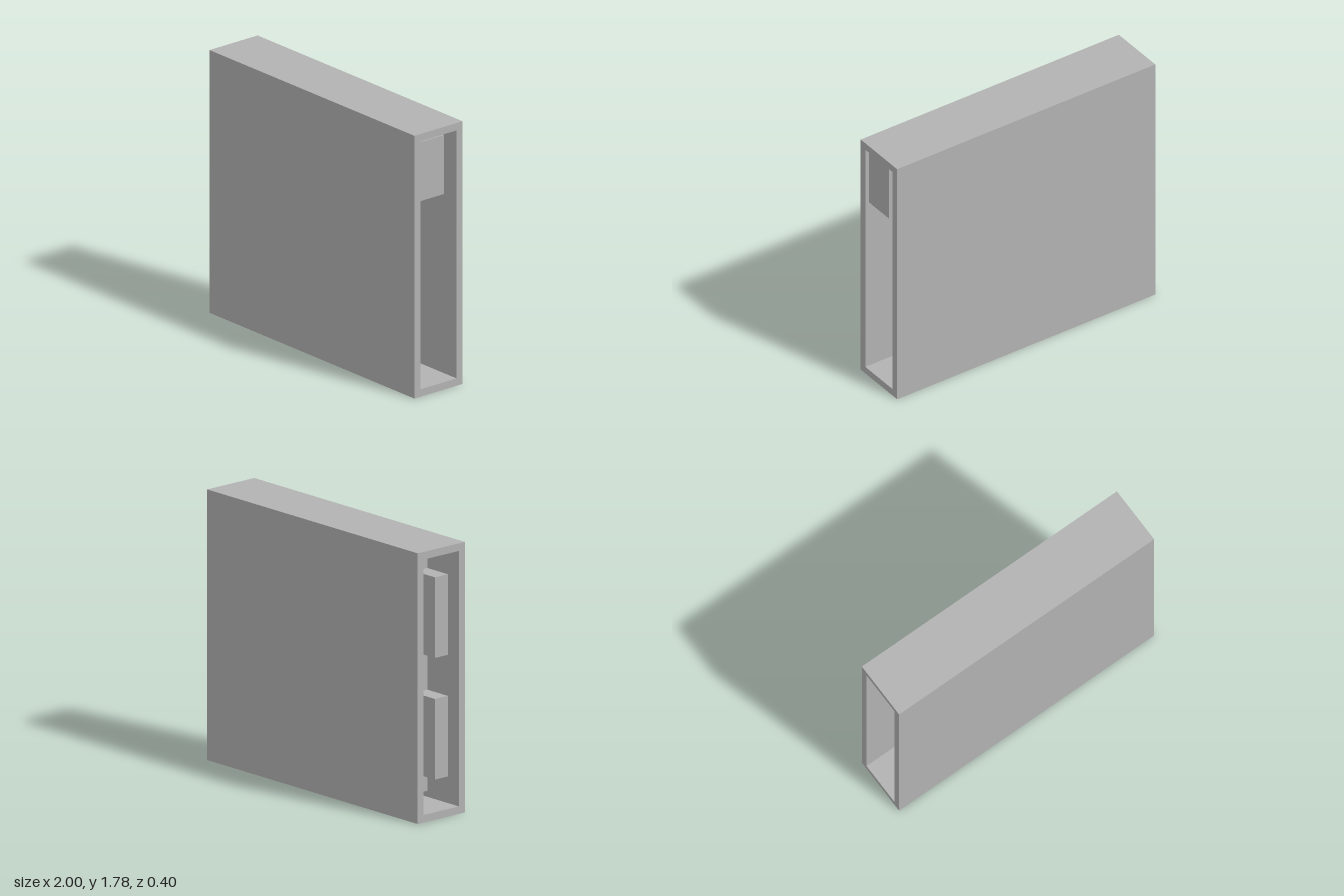
import * as THREE from 'three';

export function createModel() {
  const model = new THREE.Group();
  model.name = 'deviceEnclosure';
  const grey = new THREE.MeshStandardMaterial({ color: 0xb2b2b2 });
  grey.name = 'plain grey';

  // Box given by its lower and upper limits on each axis
  const box = (name, [x0, x1], [y0, y1], [z0, z1], parent = model) => {
    const mesh = new THREE.Mesh(new THREE.BoxGeometry(x1 - x0, y1 - y0, z1 - z0), grey);
    mesh.position.set((x0 + x1) / 2, (y0 + y1) / 2, (z0 + z1) / 2);
    mesh.name = name;
    parent.add(mesh);
  };

  // Rectangular sleeve, open at both x ends
  const H = 1.78, D = 0.2, wall = 0.05;
  const rect = (path, z, y0, y1) =>
    path.moveTo(-z, y0).lineTo(z, y0).lineTo(z, y1).lineTo(-z, y1).closePath();
  const profile = rect(new THREE.Shape(), D, 0, H);
  profile.holes.push(rect(new THREE.Path(), D - wall, wall, H - wall));
  const sleeveGeo = new THREE.ExtrudeGeometry(profile, { depth: 2, bevelEnabled: false });
  sleeveGeo.translate(0, 0, -1).rotateY(Math.PI / 2);
  const sleeve = new THREE.Mesh(sleeveGeo, grey);
  sleeve.name = 'sleeve';
  model.add(sleeve);

  // Circuit board against the inside of the front wall
  box('circuitBoard', [-0.7, 0.7], [0.09, 1.69], [0.1, 0.15]);

  // Tall jack at the right-hand opening, low header along the bottom
  box('jack', [0.57, 0.97], [1.31, 1.71], [-0.07, 0.15]);
  box('pinHeader', [-0.4, 0.4], [0.13, 0.18], [-0.01, 0.1]);

  // Two identical groups: side port, chip and finned heat sink
  for (const [label, y] of [['lower', 0.49], ['upper', 1.29]]) {
    const unit = new THREE.Group();
    unit.name = label + 'ChipUnit';
    model.add(unit);
    box('sidePort', [-0.895, -0.6], [y - 0.265, y + 0.265], [0.04, 0.15], unit);
    box('chip', [-0.15, 0.15], [y - 0.15, y + 0.15], [0.04, 0.1], unit);
    box('heatSinkBase', [-0.22, 0.22], [y - 0.22, y + 0.22], [-0.01, 0.04], unit);
    for (const dy of [-0.16, 0, 0.16]) {
      box('heatSinkFin', [-0.22, 0.22], [y + dy - 0.025, y + dy + 0.025], [-0.09, -0.01], unit);
    }
  }
  return model;
}
